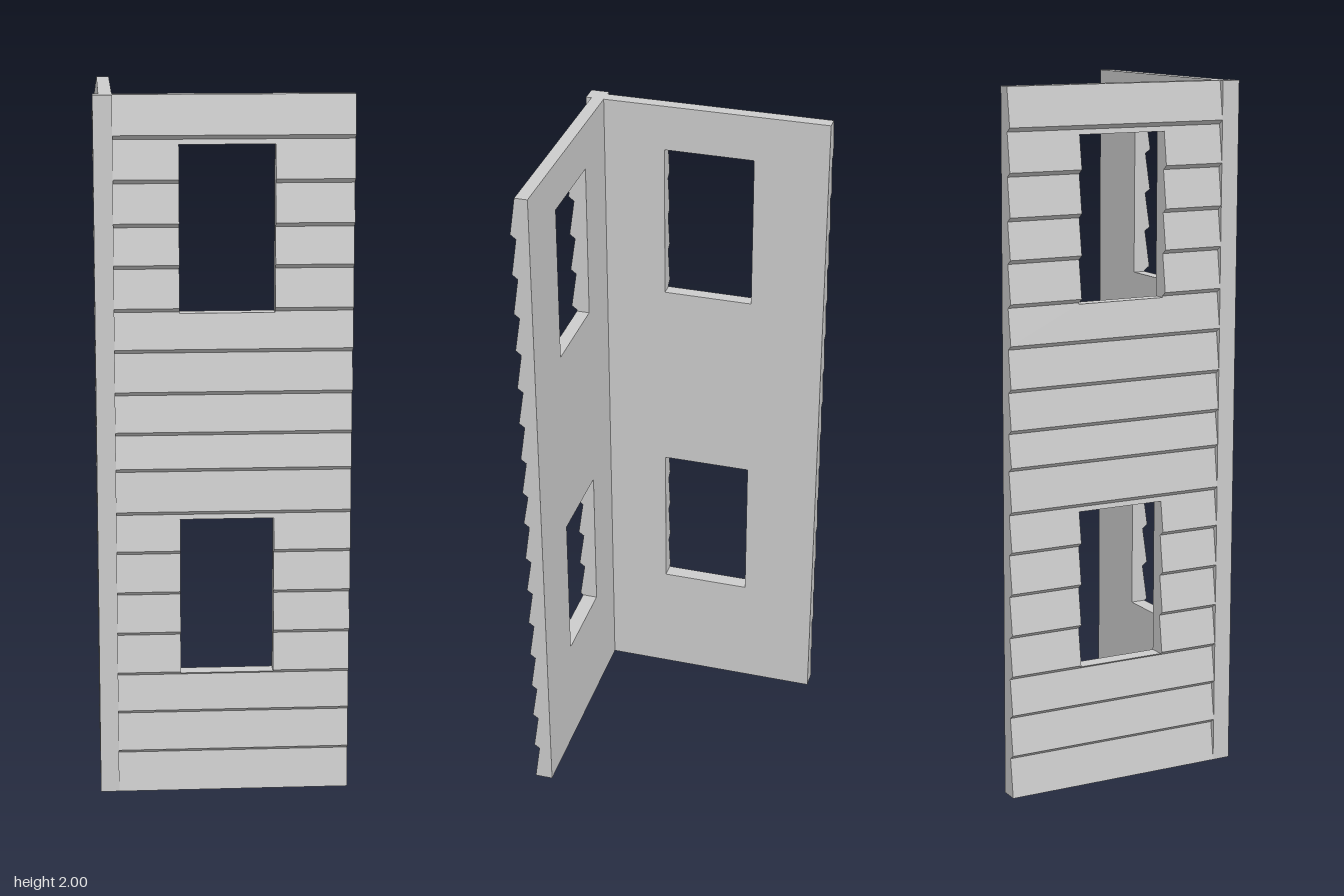
import * as THREE from 'three';

const HEIGHT = 2, OUT = 0.358, GROOVE = 0.342, INNER = 0.305;
const LAPS = [0.12, 0.24, 0.355, 0.475, 0.595, 0.715, 0.83, 0.955, 1.06, 1.175, 1.295, 1.41, 1.53, 1.645, 1.765, 1.885];
const WINDOWS = [[0.355, 0.81], [1.4, 1.865]];

// Sawtooth profile of the lapped boards as [height, depth], with the window heights inserted
function boardProfile() {
  const points = [[0, OUT]];
  for (const y of LAPS) points.push([y - 0.006, GROOVE], [y + 0.006, OUT]);
  points.push([HEIGHT, GROOVE]);
  for (const y of WINDOWS.flat()) {
    const i = points.findIndex(p => p[0] > y);
    const [y0, d0] = points[i - 1], [y1, d1] = points[i];
    points.splice(i, 0, [y, d0 + (d1 - d0) * (y - y0) / (y1 - y0)]);
  }
  return points;
}

// Wall facing +z; columns are the left end, the two window sides and the right end
function wallGeometry(columns) {
  const positions = [];
  const quad = (a, b, c, d) => positions.push(...a, ...b, ...c, ...a, ...c, ...d);
  const profile = boardProfile();
  const isOpen = y => WINDOWS.some(w => y > w[0] && y < w[1]);

  for (let i = 0; i < profile.length - 1; i++) {
    const [y0, d0] = profile[i], [y1, d1] = profile[i + 1];
    const open = isOpen((y0 + y1) / 2);
    // Boards outside, flat face inside
    for (let c = 0; c < 3; c++) {
      if (c === 1 && open) continue;
      const a = columns[c], b = columns[c + 1];
      quad([a, y0, d0], [b, y0, d0], [b, y1, d1], [a, y1, d1]);
      quad([b, y0, INNER], [a, y0, INNER], [a, y1, INNER], [b, y1, INNER]);
    }
    // Ends and window jambs
    const facesRight = u => quad([u, y0, d0], [u, y0, INNER], [u, y1, INNER], [u, y1, d1]);
    const facesLeft = u => quad([u, y0, INNER], [u, y0, d0], [u, y1, d1], [u, y1, INNER]);
    facesLeft(columns[0]);
    facesRight(columns[3]);
    if (open) {
      facesRight(columns[1]);
      facesLeft(columns[2]);
    }
  }

  // Top and bottom edges, sills and lintels
  const depthAt = y => profile.find(p => p[0] === y)[1];
  const facesUp = (a, b, y) => quad([a, y, depthAt(y)], [b, y, depthAt(y)], [b, y, INNER], [a, y, INNER]);
  const facesDown = (a, b, y) => quad([a, y, INNER], [b, y, INNER], [b, y, depthAt(y)], [a, y, depthAt(y)]);
  facesUp(columns[0], columns[3], HEIGHT);
  facesDown(columns[0], columns[3], 0);
  for (const [sill, lintel] of WINDOWS) {
    facesUp(columns[1], columns[2], sill);
    facesDown(columns[1], columns[2], lintel);
  }

  const geometry = new THREE.BufferGeometry();
  geometry.setAttribute('position', new THREE.Float32BufferAttribute(positions, 3));
  geometry.computeVertexNormals();
  return geometry;
}

export function createModel() {
  const group = new THREE.Group();
  const material = new THREE.MeshStandardMaterial({ color: 0xcccccc, flatShading: true });
  const add = (name, geometry) => {
    const mesh = new THREE.Mesh(geometry, material);
    mesh.name = name;
    group.add(mesh);
    return mesh;
  };

  // Two matching walls, mirrored about the corner
  const columns = [-INNER, -0.125, 0.14, OUT];
  add('frontWall', wallGeometry(columns));
  add('sideWall', wallGeometry(columns.map(u => -u).reverse())).rotation.y = -Math.PI / 2;

  // Square post joining the walls
  const width = OUT - INNER, middle = (OUT + INNER) / 2;
  add('cornerPost', new THREE.BoxGeometry(width, HEIGHT, width)).position.set(-middle, HEIGHT / 2, middle);
  return group;
}
